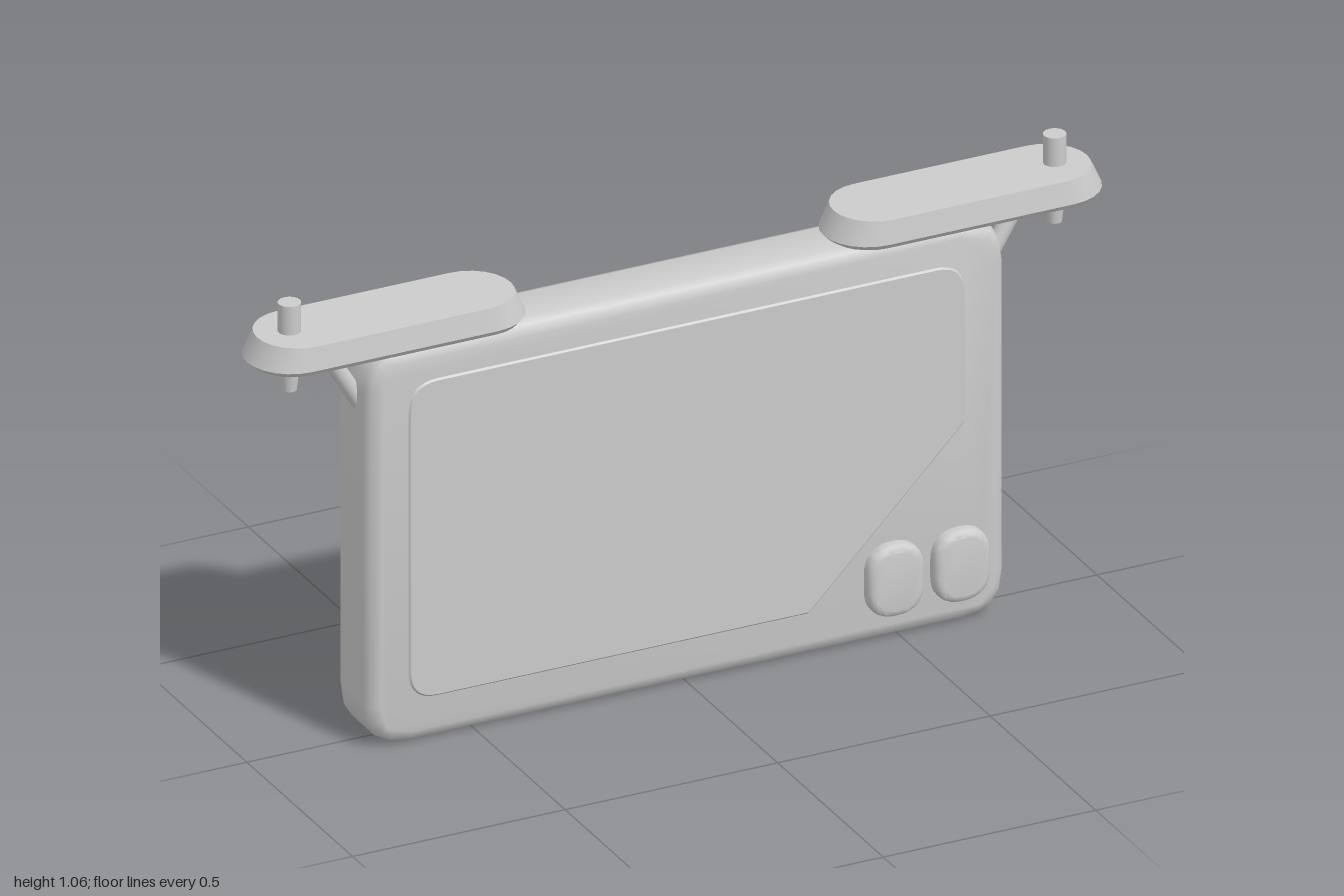
import * as THREE from 'three';
import { toCreasedNormals } from 'three/addons/utils/BufferGeometryUtils.js';

const grey = new THREE.MeshStandardMaterial({ color: 0xcccccc });

function add(parent, name, geometry) {
  const mesh = new THREE.Mesh(geometry, grey);
  mesh.name = name;
  parent.add(mesh);
  return mesh;
}

// Rounded outline through corner points [x, y, radius]
function roundedShape(corners) {
  const shape = new THREE.Shape();
  const n = corners.length;
  corners.forEach(([x, y, r], i) => {
    const p = new THREE.Vector2(x, y);
    const toward = (c) => new THREE.Vector2(c[0], c[1]).sub(p).setLength(r).add(p);
    const a = toward(corners[(i + n - 1) % n]);
    const b = toward(corners[(i + 1) % n]);
    if (i === 0) shape.moveTo(a.x, a.y);
    else shape.lineTo(a.x, a.y);
    if (r > 0) shape.quadraticCurveTo(x, y, b.x, b.y);
  });
  shape.closePath();
  return shape;
}

function roundedRect(x0, y0, x1, y1, r) {
  return roundedShape([[x0, y0, r], [x1, y0, r], [x1, y1, r], [x0, y1, r]]);
}

// Slab between two depths whose edges are bevelled inside the outline
function slab(shape, z0, z1, bevel, bevelSegments, curveSegments, crease) {
  const geometry = new THREE.ExtrudeGeometry(shape, {
    depth: z1 - z0 - 2 * bevel,
    bevelThickness: bevel, bevelSize: bevel, bevelOffset: -bevel,
    bevelSegments, curveSegments,
  });
  geometry.translate(0, 0, z0 + bevel);
  return toCreasedNormals(geometry, crease);
}

// Stadium-shaped arm lofted through rings [y, half length, half width]
function armGeometry() {
  const rings = [[0.928, 0.31, 0.094], [0.94, 0.322, 0.103], [0.993, 0.298, 0.095]];
  const arc = 12;
  const count = 2 * (arc + 1);
  const pos = [];
  const index = [];
  for (const [y, halfLength, halfWidth] of rings) {
    for (let i = 0; i < count; i++) {
      const end = i <= arc ? 1 : -1;
      const a = -Math.PI / 2 + (Math.PI * (i % (arc + 1))) / arc;
      pos.push(end * (halfLength - halfWidth + halfWidth * Math.cos(a)), y, end * halfWidth * Math.sin(a));
    }
  }
  for (let r = 0; r < rings.length - 1; r++) {
    for (let i = 0; i < count; i++) {
      const a = r * count + i;
      const b = r * count + ((i + 1) % count);
      index.push(a, a + count, b, b, a + count, b + count);
    }
  }
  const top = (rings.length - 1) * count;
  for (let i = 1; i < count - 1; i++) {
    index.push(0, i, i + 1);
    index.push(top, top + i + 1, top + i);
  }
  const geometry = new THREE.BufferGeometry();
  geometry.setAttribute('position', new THREE.Float32BufferAttribute(pos, 3));
  geometry.setIndex(index);
  return toCreasedNormals(geometry, 0.5);
}

export function createModel() {
  const model = new THREE.Group();
  model.name = 'handheldPanel';

  // Case
  add(model, 'case', slab(roundedRect(-0.75, 0, 0.75, 0.93, 0.1), -0.085, 0.075, 0.028, 2, 4, 0.9));

  // Screen with one corner cut away for the buttons
  const screen = roundedShape([
    [-0.658, 0.1, 0.07], [0.285, 0.1, 0], [0.652, 0.47, 0], [0.652, 0.847, 0.07], [-0.658, 0.847, 0.07],
  ]);
  add(model, 'screen', slab(screen, 0.06, 0.079, 0.005, 1, 8, 0.5));

  // Buttons
  for (const x of [0.48, 0.636]) {
    add(model, 'button', slab(roundedRect(x - 0.066, 0.06, x + 0.066, 0.228, 0.066), 0.05, 0.105, 0.016, 3, 8, 0.7));
  }

  // Mirrored top arms with pegs and braces
  for (const side of [1, -1]) {
    const group = new THREE.Group();
    group.name = side > 0 ? 'leftArm' : 'rightArm';
    model.add(group);

    add(group, 'arm', armGeometry()).position.x = side * 0.678;
    add(group, 'upperPeg', new THREE.CylinderGeometry(0.025, 0.025, 0.1, 20)).position.set(side * 0.9, 1.01, 0);
    add(group, 'lowerPeg', new THREE.CylinderGeometry(0.026, 0.016, 0.09, 20)).position.set(side * 0.9, 0.9, 0);

    const from = new THREE.Vector3(side * 0.73, 0.782, 0);
    const to = new THREE.Vector3(side * 0.832, 0.95, 0);
    const brace = add(group, 'brace', new THREE.CylinderGeometry(0.019, 0.019, from.distanceTo(to), 16));
    brace.position.copy(from).lerp(to, 0.5);
    brace.quaternion.setFromUnitVectors(new THREE.Vector3(0, 1, 0), to.clone().sub(from).normalize());
  }
  return model;
}
